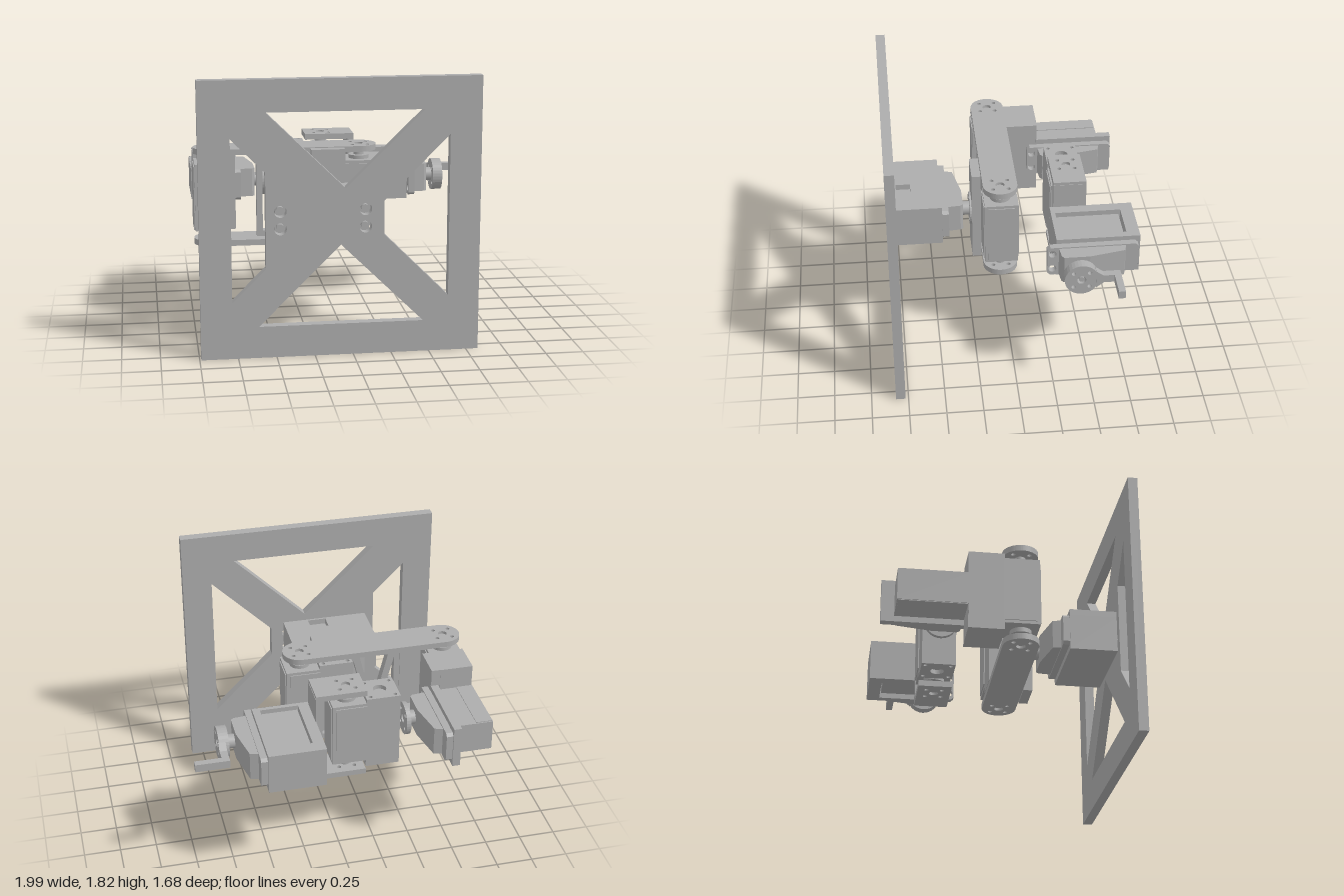
import * as THREE from 'three';

const grey = new THREE.MeshStandardMaterial({ color: 0xacacac });
grey.name = 'grey';

function add(parent, name, geometry) {
  const mesh = new THREE.Mesh(geometry, grey);
  mesh.name = name;
  parent.add(mesh);
  return mesh;
}

// Box given by its limits on each axis
function box(parent, name, [x0, x1], [y0, y1], [z0, z1]) {
  const m = add(parent, name, new THREE.BoxGeometry(x1 - x0, y1 - y0, z1 - z0));
  m.position.set((x0 + x1) / 2, (y0 + y1) / 2, (z0 + z1) / 2);
  return m;
}

const poly = (pts, Type = THREE.Shape) => new Type(pts.map(p => new THREE.Vector2(...p)));
const rect = (x0, x1, y0, y1, Type) => poly([[x0, y0], [x1, y0], [x1, y1], [x0, y1]], Type);

function drill(shape, x, y, r) {
  const hole = new THREE.Path();
  hole.absarc(x, y, r, 0, Math.PI * 2, true);
  shape.holes.push(hole);
}

// Centre hole and four screw holes of an output flange
function drillHorn(shape, x, y) {
  drill(shape, x, y, 0.03);
  for (const i of [-1, 1]) for (const j of [-1, 1]) drill(shape, x + i * 0.053, y + j * 0.053, 0.014);
}

const extrude = (shape, depth) =>
  new THREE.ExtrudeGeometry(shape, { depth, bevelEnabled: false, curveSegments: 16 });

// Flat part drawn in x and z, extruded between two heights
function flat(parent, name, shape, y0, y1) {
  const m = add(parent, name, extrude(shape, y1 - y0).rotateX(Math.PI / 2));
  m.position.y = y1;
  return m;
}

const disc = (r, h) => new THREE.CylinderGeometry(r, r, h, 32);

// Actuator with flange; output shaft along local +z, long side towards -x
function flangeServo(name, back, hornDepth) {
  const g = new THREE.Group();
  g.name = name;
  box(g, 'servoBody', [-0.328, 0.125], [-0.108, 0.108], [-back, 0]);

  const flange = poly([[-0.41, -0.09], [-0.39, -0.108], [0.18, -0.108], [0.2, -0.09],
    [0.2, 0.09], [0.18, 0.108], [-0.39, 0.108], [-0.41, 0.09]]);
  for (const x of [-0.385, 0.165]) for (const y of [-0.058, 0.058]) drill(flange, x, y, 0.026);
  add(g, 'servoFlange', extrude(flange, 0.045));

  // Sloped gearbox cover
  const cover = poly([[-0.328, 0.03], [0.125, 0.03], [0.115, 0.13], [0.1, 0.148], [-0.07, 0.148], [-0.31, 0.1]]);
  add(g, 'gearCover', extrude(cover, 0.2).rotateX(Math.PI / 2)).position.y = 0.1;
  add(g, 'shaft', disc(0.048, 0.08).rotateX(Math.PI / 2)).position.z = 0.17;

  const horn = new THREE.Shape();
  horn.absarc(0, 0, 0.112, 0, Math.PI * 2, false);
  drillHorn(horn, 0, 0);
  add(g, 'outputHorn', extrude(horn, hornDepth)).position.z = 0.197;
  add(g, 'hornScrew', disc(0.018, hornDepth).rotateX(Math.PI / 2)).position.z = 0.19 + hornDepth / 2;
  return g;
}

// Actuator with a vertical axis through both ends; its holder lies towards local +x
function hingeServo(name) {
  const g = new THREE.Group();
  g.name = name;
  box(g, 'servoBody', [-0.113, 0.13], [0.69, 1.15], [-0.113, 0.113]);
  box(g, 'sidePanel', [-0.09, 0.12], [0.71, 1.13], [-0.12, 0.12]);
  box(g, 'endPanel', [-0.12, 0], [0.71, 1.13], [-0.09, 0.09]);
  for (const s of [-1, 1]) {
    add(g, 'bearingSeat', disc(0.07, 0.03)).position.y = 0.915 + s * 0.245;
    add(g, 'axle', disc(0.036, 0.1)).position.y = 0.915 + s * 0.265;
    add(g, 'axleScrew', disc(0.02, 0.05)).position.y = 0.915 + s * 0.295;
  }
  // Holder: solid core with drilled caps
  box(g, 'holder', [0.118, 0.35], [0.67, 1.15], [-0.113, 0.113]);
  for (const y of [0.64, 1.15]) {
    const cap = rect(0.118, 0.35, -0.113, 0.113);
    drill(cap, 0.234, 0, 0.045);
    for (const i of [-1, 1]) for (const j of [-1, 1]) drill(cap, 0.234 + i * 0.085, j * 0.085, 0.013);
    flat(g, 'holderCap', cap, y, y + 0.03);
  }
  return g;
}

export function createModel() {
  const model = new THREE.Group();
  model.name = 'robotArm';
  const Y = 0.915;

  // Upright mounting frame with cross bracing
  const frame = rect(-0.99, 0.83, 0, 1.82);
  const openings = [
    [[-0.56, 1.61], [0.46, 1.61], [-0.05, 1.11]],
    [[-0.615, 0.21], [0.46, 0.21], [-0.08, 0.74]],
    [[-0.785, 1.445], [-0.565, 1.225], [-0.565, 0.595], [-0.785, 0.375]],
    [[0.625, 1.445], [0.2, 1.02], [0.2, 0.8], [0.625, 0.375]],
  ];
  for (const o of openings) frame.holes.push(poly(o, THREE.Path));
  const bolts = [-0.47, 0.08].flatMap(x => [0.855, 0.97].map(y => [x, y]));
  for (const [x, y] of bolts) drill(frame, x, y, 0.04);
  add(model, 'mountingFrame', extrude(frame, 0.065)).position.z = 0.77;
  for (const [x, y] of bolts)
    add(model, 'frameBolt', disc(0.025, 0.04).rotateX(Math.PI / 2)).position.set(x, y, 0.785);

  // Base holder with a cable slot on top, and the base actuator
  box(model, 'baseHolder', [-0.5, 0.11], [0.768, 1.02], [0.45, 0.772]);
  const lid = rect(-0.5, 0.11, 0.45, 0.772);
  lid.holes.push(rect(-0.2, -0.07, 0.655, 0.755, THREE.Path));
  flat(model, 'baseHolderTop', lid, 1.02, 1.06);
  const base = flangeServo('baseServo', 0.2, 0.03);
  base.rotation.y = Math.PI;
  base.scale.x = 1;
  base.rotation.set(Math.PI, 0, 0);
  base.position.set(-0.085, Y, 0.45);
  model.add(base);
  box(model, 'turntablePlate', [-0.2, 0.03], [0.58, 1.245], [0.178, 0.24]);

  // Three hinge actuators
  const hinges = [
    ['elbowServo', 0.148, 0.057, Math.PI],
    ['shoulderServo', -0.87, 0.057, Math.PI / 2],
    ['wristServo', -0.06, -0.418, Math.PI],
  ];
  for (const [name, x, z, turn] of hinges) {
    const s = hingeServo(name);
    s.position.set(x, 0, z);
    s.rotation.y = turn;
    if (name === 'shoulderServo') box(model, 'shoulderLink', [-0.985, -0.695], [0.64, 1.18], [-0.29, -0.06]);
    model.add(s);
  }

  // Upper and lower link arms with rounded ends
  for (const y of [0.58, 1.21]) {
    const arm = new THREE.Shape();
    arm.absarc(-0.873, 0.057, 0.117, Math.PI / 2, Math.PI * 1.5, false);
    arm.absarc(0.148, 0.057, 0.117, -Math.PI / 2, Math.PI / 2, false);
    for (const x of [-0.873, 0.148]) drillHorn(arm, x, 0.057);
    flat(model, 'linkArm', arm, y, y + 0.04);
  }

  // Truss web between the arms
  const web = rect(-0.56, -0.19, 0.61, 1.22);
  for (const t of [
    [[-0.52, 0.66], [-0.52, 1.13], [-0.4, 0.66]],
    [[-0.48, 1.17], [-0.27, 1.17], [-0.375, 0.74]],
    [[-0.23, 0.66], [-0.35, 0.66], [-0.23, 1.13]],
  ]) web.holes.push(poly(t, THREE.Path));
  add(model, 'trussWeb', extrude(web, 0.06)).position.z = 0.03;

  // Rotating actuator on the shoulder link
  const along = new THREE.Matrix4().makeBasis(
    new THREE.Vector3(0, 0, 1), new THREE.Vector3(0, -1, 0), new THREE.Vector3(1, 0, 0));
  const roll = flangeServo('forearmServo', 0.3, 0.03);
  roll.setRotationFromMatrix(along);
  roll.position.set(-0.69, Y, -0.415);
  model.add(roll);
  box(model, 'forearmServoRear', [-0.985, -0.875], [0.802, 1.028], [-0.735, -0.295]);
  box(model, 'forearmServoPlate', [-0.745, -0.692], [0.768, 1.06], [-0.83, -0.285]);

  // U-shaped wrist bracket
  for (const y of [0.58, 1.21]) {
    const plate = rect(-0.18, 0.165, -0.53, -0.305);
    drillHorn(plate, -0.06, -0.418);
    flat(model, 'wristBracketPlate', plate, y, y + 0.04);
  }
  box(model, 'wristBracketBack', [0.122, 0.168], [0.6, 1.23], [-0.53, -0.305]);

  // Open holder and last actuator
  const holder = rect(0.165, 0.55, -0.842, -0.28);
  holder.holes.push(rect(0.24, 0.5, -0.755, -0.31, THREE.Path));
  flat(model, 'handHolder', holder, 0.77, 1.055);
  const hand = flangeServo('handServo', 0.305, 0.068);
  hand.setRotationFromMatrix(along);
  hand.position.set(0.55, Y, -0.415);
  model.add(hand);

  // Crank handle on the output
  const crank = poly([[-0.51, 0.98], [-0.56, 0.945], [-0.675, 0.945], [-0.675, 0.89], [-0.56, 0.89], [-0.51, 0.85]]
    .map(([z, y]) => [-z, y]));
  add(model, 'crankArm', extrude(crank, 0.05).rotateY(Math.PI / 2)).position.x = 0.77;
  box(model, 'crankHandle', [0.8, 1.0], [0.89, 0.945], [-0.675, -0.63]);

  return model;
}
